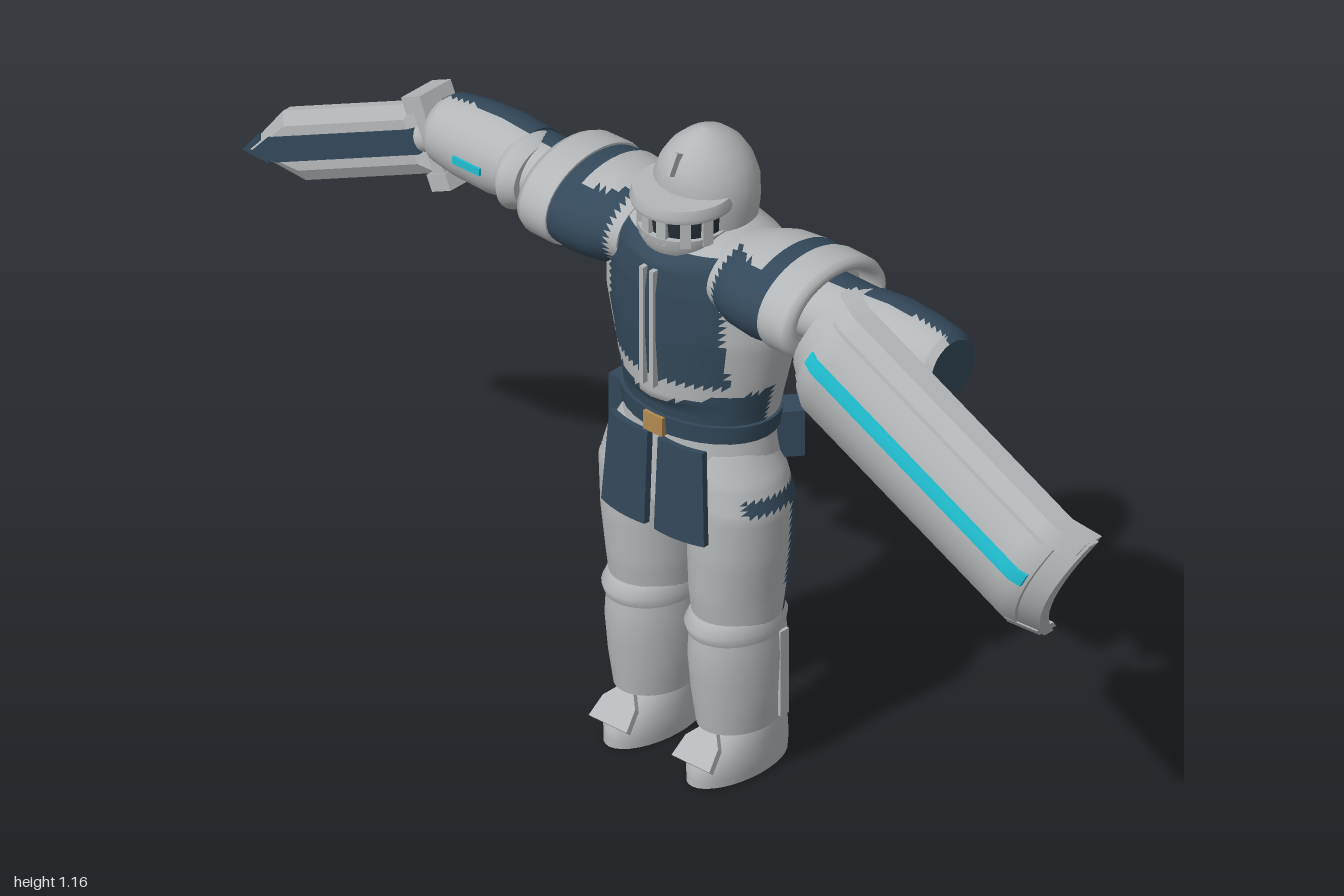
import * as THREE from 'three';

const mat = (name, color, side = THREE.FrontSide) => {
  const m = new THREE.MeshStandardMaterial({ color, side });
  m.name = name;
  return m;
};
const light = mat('pale armour', 0xb4b7b9);
const dark = mat('dark cloth', 0x33485a);
const cyan = mat('cyan glow', 0x20c0d2);
const gold = mat('brass', 0xb08850);
const slit = mat('visor shadow', 0x262f38);

// Closed tube along y from elliptical rings [y, rx, rz, cz = 0, cx = 0]
function loft(rings, n = 32, sub = 1) {
  const rows = [];
  const full = rings.map(r => [r[0], r[1], r[2], r[3] || 0, r[4] || 0]);
  full.forEach((r, i) => {
    if (i === full.length - 1) return rows.push(r);
    for (let k = 0; k < sub; k++) rows.push(r.map((v, c) => v + (full[i + 1][c] - v) * k / sub));
  });
  const pos = [], idx = [];
  const ring = ([y, rx, rz, cz, cx]) => {
    for (let j = 0; j < n; j++) {
      const a = j / n * Math.PI * 2;
      pos.push(cx + rx * Math.sin(a), y, cz + rz * Math.cos(a));
    }
  };
  rows.forEach(ring);
  for (let i = 0; i < rows.length - 1; i++) for (let j = 0; j < n; j++) {
    const a = i * n + j, b = i * n + (j + 1) % n;
    idx.push(a, b, b + n, a, b + n, a + n);
  }
  [rows[0], rows[rows.length - 1]].forEach((r, e) => {
    const s = pos.length / 3;
    ring(r);
    pos.push(r[4], r[0], r[3]);
    for (let j = 0; j < n; j++) {
      const a = s + j, b = s + (j + 1) % n;
      e ? idx.push(s + n, a, b) : idx.push(s + n, b, a);
    }
  });
  const g = new THREE.BufferGeometry();
  g.setAttribute('position', new THREE.Float32BufferAttribute(pos, 3));
  g.setIndex(idx);
  g.computeVertexNormals();
  return g;
}

// Splits faces into a pale group and a dark group by their centre
function paint(g, isDark) {
  const p = g.attributes.position, src = g.index.array, sets = [[], []];
  for (let i = 0; i < src.length; i += 3) {
    const t = [src[i], src[i + 1], src[i + 2]];
    const mid = f => (f(t[0]) + f(t[1]) + f(t[2])) / 3;
    sets[isDark(mid(k => p.getX(k)), mid(k => p.getY(k)), mid(k => p.getZ(k))) ? 1 : 0].push(...t);
  }
  g.setIndex([...sets[0], ...sets[1]]);
  g.addGroup(0, sets[0].length, 0);
  g.addGroup(sets[0].length, sets[1].length, 1);
  return g;
}

function bend(g, rule) {
  const p = g.attributes.position;
  for (let i = 0; i < p.count; i++) p.setXYZ(i, ...rule(p.getX(i), p.getY(i), p.getZ(i)));
  g.computeVertexNormals();
  return g;
}

export function createModel() {
  const model = new THREE.Group();
  model.name = 'armouredKnight';
  const two = [light, dark];
  const add = (name, geo, m, x = 0, y = 0, z = 0, parent = model) => {
    const mesh = new THREE.Mesh(geo, m);
    mesh.name = name;
    mesh.position.set(x, y, z);
    parent.add(mesh);
    return mesh;
  };
  const box = (w, h, d) => new THREE.BoxGeometry(w, h, d);

  // Torso with keeled breastplate, dark chest and back panels
  const torso = loft([[0.63, 0.14, 0.1, -0.057], [0.68, 0.147, 0.108, -0.06], [0.75, 0.165, 0.114, -0.062],
    [0.83, 0.184, 0.121, -0.063], [0.91, 0.187, 0.119, -0.062], [0.97, 0.16, 0.108, -0.06], [1.005, 0.09, 0.08, -0.06]], 64, 6);
  bend(torso, (x, y, z) => [x, y, z > 0 && y > 0.7 && y < 0.96 ? z + 0.014 * Math.max(0, 1 - Math.abs(x) / 0.12) : z]);
  add('torso', paint(torso, (x, y, z) => {
    if (z > -0.055) return y < 0.7 + Math.abs(x) * 0.22 || (Math.abs(x) < 0.125 && y > 0.745 && y < 0.98);
    return z < -0.135 && y < 0.97 && Math.abs(x) < (y > 0.78 ? 0.125 : 0.14);
  }), two);
  for (const s of [-1, 1]) add('chestRidge', box(0.009, 0.22, 0.02), light, s * 0.011, 0.84, 0.065);

  // Belt, buckle, skirt and hanging panels
  add('belt', loft([[0.635, 0.147, 0.108, -0.057], [0.668, 0.152, 0.112, -0.058]]), dark);
  add('buckle', box(0.042, 0.034, 0.016), gold, 0, 0.65, 0.052);
  add('skirt', loft([[0.5, 0.152, 0.115, -0.062], [0.57, 0.15, 0.108, -0.058], [0.64, 0.14, 0.1, -0.055]], 40, 2), light);
  for (const s of [-1, 1]) {
    const t = bend(new THREE.BoxGeometry(0.098, 0.17, 0.012, 8, 4, 1), (x, y, z) => [x * (1 - y * 0.7), y, z - x * x * 3]);
    const flap = add('frontPanel', t, dark, s * 0.06, 0.545, 0.061);
    flap.rotation.set(-0.05, s * 0.08, s * 0.03);
    add('beltPouch', box(0.055, 0.085, 0.045), dark, s * 0.125, 0.613, -0.132).rotation.y = s * 2.45;
  }
  add('sidePouch', box(0.03, 0.08, 0.05), dark, -0.143, 0.613, -0.03);

  // Legs: thigh, knee, gaiter, boot and toe plate
  for (const s of [-1, 1]) {
    const leg = new THREE.Group();
    leg.name = s > 0 ? 'leftLeg' : 'rightLeg';
    model.add(leg);
    const cx = s * 0.092;
    add('thigh', paint(loft([[0.27, 0.07, 0.076, -0.045, cx], [0.34, 0.076, 0.088, -0.047, cx], [0.42, 0.082, 0.093, -0.047, s * 0.096],
      [0.51, 0.086, 0.092, -0.047, s * 0.098], [0.56, 0.078, 0.085, -0.047, s * 0.09], [0.61, 0.06, 0.07, -0.047, s * 0.08]], 40, 6),
    (x, y, z) => y < 0.54 && (z < -0.083 || (y > 0.515 && z < 0.01))), two, 0, 0, 0, leg);
    add('kneeGuard', loft([[0.265, 0.074, 0.088, -0.042, cx], [0.283, 0.076, 0.094, -0.041, cx], [0.302, 0.07, 0.082, -0.043, cx]]), light, 0, 0, 0, leg);
    add('gaiter', loft([[0.09, 0.062, 0.077, -0.047, cx], [0.15, 0.071, 0.085, -0.047, cx], [0.22, 0.075, 0.091, -0.046, cx],
      [0.28, 0.073, 0.084, -0.044, cx]], 36, 2), light, 0, 0, 0, leg);
    add('gaiterSeam', box(0.006, 0.16, 0.02), light, s * 0.163, 0.185, -0.078, leg);
    add('boot', loft([[0, 0.053, 0.107, -0.043, cx], [0.025, 0.056, 0.107, -0.044, cx], [0.05, 0.056, 0.1, -0.049, cx],
      [0.08, 0.055, 0.084, -0.06, cx], [0.1, 0.053, 0.068, -0.066, cx]], 32, 2), light, 0, 0, 0, leg);
    const plate = new THREE.Shape([[-0.042, -0.04], [0.042, -0.04], [0.036, 0], [0, 0.045], [-0.036, 0]].map(p => new THREE.Vector2(...p)));
    const toe = new THREE.ExtrudeGeometry(plate, { depth: 0.012, bevelEnabled: false });
    add('toePlate', toe, light, cx, 0.066, 0.032, leg).rotation.x = -0.75;
  }

  // Arms: pauldron with open rim, upper arm, elbow and forearm
  for (const s of [-1, 1]) {
    const arm = new THREE.Group();
    arm.name = s > 0 ? 'leftArm' : 'rightArm';
    model.add(arm);
    const limb = (rings, sub) => loft(rings, 40, sub).rotateZ(-s * Math.PI / 2).translate(0, 0.938, -0.057);
    add('shoulder', paint(limb([[0.1, 0.062, 0.095], [0.15, 0.078, 0.115], [0.2, 0.082, 0.121], [0.235, 0.079, 0.117]], 4),
      (x, y, z) => Math.abs(x) > 0.2 || (Math.abs(x) > 0.12 && z > -0.02 && y < 1.005)), two, 0, 0, 0, arm);
    add('pauldronBand', limb([[0.235, 0.083, 0.12], [0.245, 0.085, 0.123], [0.29, 0.084, 0.122], [0.302, 0.079, 0.116],
      [0.302, 0.066, 0.098], [0.27, 0.062, 0.09]], 1), light, 0, 0, 0, arm);
    const back = (x, y, z) => z < -0.045;
    add('upperArm', paint(limb([[0.25, 0.055, 0.075], [0.32, 0.058, 0.07], [0.37, 0.06, 0.068]], 4), back), two, 0, 0, 0, arm);
    add('elbowGuard', limb([[0.34, 0.056, 0.07, 0.012], [0.365, 0.066, 0.08, 0.018], [0.385, 0.058, 0.07, 0.01]], 1), light, 0, 0, 0, arm);
    add('forearm', paint(limb([[0.37, 0.064, 0.069], [0.43, 0.072, 0.073, 0.003], [0.5, 0.069, 0.07, 0.005], [0.55, 0.061, 0.063, 0.006],
      [0.565, 0.05, 0.052, 0.006]], 4), (x, y, z) => back(x, y, z) || Math.abs(x) > 0.564), two, 0, 0, 0, arm);
  }
  add('wristLight', box(0.06, 0.014, 0.008), cyan, -0.45, 0.937, 0.018);

  // Helmet with brim, slotted face guard and collar
  add('collar', loft([[0.96, 0.115, 0.098, -0.06], [0.985, 0.1, 0.09, -0.055], [1.0, 0.085, 0.08, -0.055]]), light);
  add('helmet', loft([[0.985, 0.083, 0.08, -0.072], [1.03, 0.089, 0.086, -0.071], [1.07, 0.088, 0.087, -0.07], [1.1, 0.075, 0.08, -0.069],
    [1.125, 0.058, 0.065, -0.068], [1.145, 0.035, 0.042, -0.067], [1.155, 0.015, 0.018, -0.066], [1.158, 0.002, 0.002, -0.066]]), light);
  add('helmetBrim', loft([[1.046, 0.086, 0.087, -0.015], [1.055, 0.088, 0.09, -0.015], [1.07, 0.084, 0.086, -0.016]]), light);
  add('visor', loft([[0.985, 0.068, 0.066, -0.018], [1.046, 0.075, 0.074, -0.018]]), slit);
  add('chinGuard', loft([[0.975, 0.066, 0.07, -0.018], [0.99, 0.075, 0.078, -0.018], [1.008, 0.077, 0.08, -0.018]]), light);
  for (const a of [-1.25, -0.75, -0.22, 0.22, 0.75, 1.25])
    add('visorBar', box(0.018, 0.05, 0.014), light, 0.072 * Math.sin(a), 1.02, -0.018 + 0.071 * Math.cos(a)).rotation.y = a;
  add('helmetRidge', box(0.007, 0.04, 0.03), light, 0, 1.115, 0.0).rotation.x = -0.5;

  // Sword held in the right hand
  const sword = new THREE.Group();
  sword.name = 'sword';
  sword.position.set(-0.6, 0.9, -0.052);
  sword.rotation.z = Math.PI + 0.43;
  model.add(sword);
  const shape = pts => new THREE.Shape(pts.map(p => new THREE.Vector2(...p)));
  const slab = (pts, depth, bevel) => new THREE.ExtrudeGeometry(shape(pts), bevel
    ? { depth, bevelThickness: 0.014, bevelSize: 0.022, bevelOffset: -0.022, bevelSegments: 1 }
    : { depth, bevelEnabled: false }).translate(0, 0, -depth / 2);
  add('blade', slab([[0, -0.061], [0.32, -0.061], [0.435, 0], [0.32, 0.061], [0, 0.061]], 0.018, true), light, 0, 0, 0, sword);
  add('bladeCore', slab([[0.01, -0.022], [0.36, -0.022], [0.41, 0], [0.36, 0.022], [0.01, 0.022]], 0.05), dark, 0, 0, 0, sword);
  add('bladeTip', slab([[0.39, -0.026], [0.442, 0], [0.39, 0.026]], 0.03), dark, 0, 0, 0, sword);
  add('guard', box(0.026, 0.16, 0.07), light, -0.035, 0, 0, sword);
  for (const s of [-1, 1]) add('guardEnd', box(0.045, 0.03, 0.075), light, -0.03, s * 0.068, 0, sword);
  add('grip', new THREE.CylinderGeometry(0.026, 0.026, 0.14, 16).rotateZ(Math.PI / 2), light, -0.06, 0, 0, sword);

  // Curved shield on the left arm
  const shield = new THREE.Group();
  shield.name = 'shield';
  shield.position.set(0.681, 0.874, 0);
  shield.rotation.z = -0.447;
  model.add(shield);
  const curved = (w, h, d, u0, v0, z0) => bend(new THREE.BoxGeometry(w, h, d, 24, 12, 1).translate(u0, v0, 0), (u, v, z) => {
    const end = Math.max(0, Math.abs(u) - 0.25);
    return [u, v * (1 - end * (u < 0 ? 2.6 : 0.9)), z0 + z - 3.4 * v * v - end * 0.5];
  });
  add('shieldShell', curved(0.61, 0.245, 0.022, 0, 0, 0.165), light, 0, 0, 0, shield);
  add('shieldFace', curved(0.54, 0.19, 0.012, 0, 0, 0.177), light, 0, 0, 0, shield);
  add('shieldStripe', curved(0.53, 0.024, 0.008, 0, 0.03, 0.185), cyan, 0, 0, 0, shield);
  for (const s of [-1, 1]) add('shieldRim', curved(0.6, 0.02, 0.04, 0, s * 0.113, 0.16), light, 0, 0, 0, shield);
  add('shieldBackPlate', box(0.25, 0.17, 0.014), dark, -0.03, 0, 0.088, shield).rotation.x = 0.06;
  add('shieldMount', box(0.1, 0.08, 0.08), dark, -0.05, 0, 0.125, shield);
  add('shieldStrap', box(0.03, 0.1, 0.06), dark, -0.1, -0.02, 0.055, shield);
  add('shieldHandle', new THREE.CylinderGeometry(0.04, 0.04, 0.1, 20).rotateZ(Math.PI / 2), dark, 0.55, 0.81, 0.012);
  add('handleLatch', box(0.018, 0.018, 0.02), gold, 0.61, 0.87, 0.074);
  return model;
}
